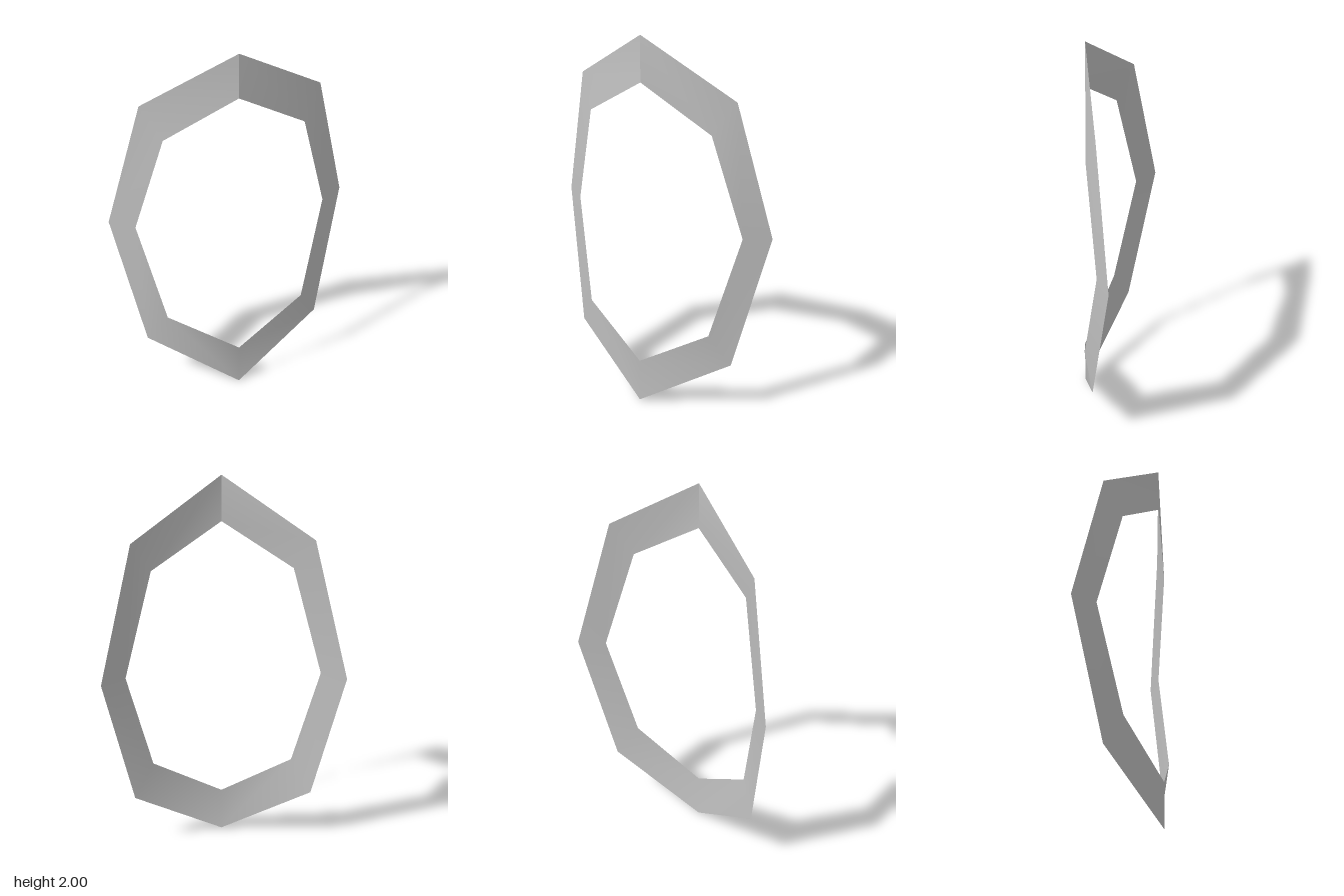
import * as THREE from 'three';

export function createModel() {
  const group = new THREE.Group();
  const grey = new THREE.MeshStandardMaterial({ color: 0xc0c0c0, side: THREE.DoubleSide });
  grey.name = 'lightGrey';

  // Half of the bent rim, top to bottom: [outer corner, inner corner]
  const half = [
    [[0, 2, 0.115], [0, 1.765, 0.115]],
    [[0.452, 1.705, -0.035], [0.355, 1.54, 0.035]],
    [[0.618, 1, -0.13], [0.496, 1, -0.046]],
    [[0.467, 0.29, -0.015], [0.366, 0.46, 0.048]],
    [[0, 0.003, 0.132], [0, 0.24, 0.132]],
  ];
  // Mirror the other half; the strip ends meet unwelded at the top crease
  const mirrored = half.slice(0, 4).reverse()
    .map((pair) => pair.map(([x, y, z]) => [-x, y, z]));
  const stations = [...half, ...mirrored];

  const index = [];
  for (let i = 0; i < stations.length - 1; i++) {
    const outer = 2 * i, inner = outer + 1, nextOuter = outer + 2, nextInner = outer + 3;
    index.push(outer, inner, nextInner, outer, nextInner, nextOuter);
  }

  const geometry = new THREE.BufferGeometry();
  geometry.setAttribute('position', new THREE.Float32BufferAttribute(stations.flat(2), 3));
  geometry.setIndex(index);
  geometry.computeVertexNormals();

  const rim = new THREE.Mesh(geometry, grey);
  rim.name = 'rim';
  group.add(rim);
  return group;
}
